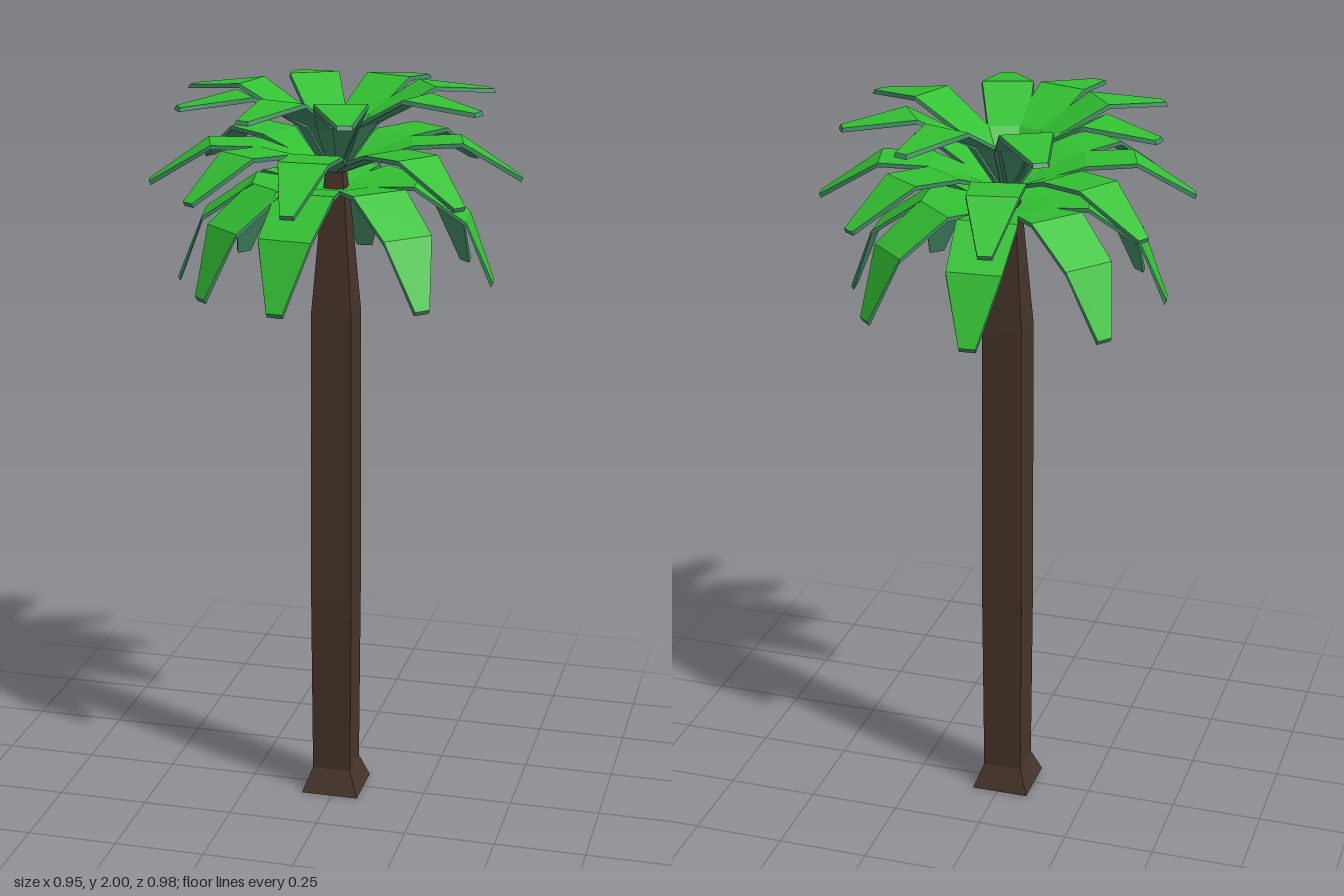
import * as THREE from 'three';

const leaf = new THREE.MeshStandardMaterial({ color: 0x33c133, flatShading: true });
leaf.name = 'leafGreen';
const under = new THREE.MeshStandardMaterial({ color: 0x448a66, flatShading: true });
under.name = 'leafUndersideTeal';
const bark = new THREE.MeshStandardMaterial({ color: 0x46342a, flatShading: true, side: THREE.DoubleSide });
bark.name = 'barkBrown';

// Folded strip along +x; each section is [distance, height, half width].
// The lower face is widened by rim and its tip moved out by tipOut.
function frondGeometry(sections, rim, tipOut) {
  const pos = [];
  const quad = (a, b, c, d) => pos.push(...a, ...b, ...c, ...a, ...c, ...d);
  const rows = sections.map(([r, y, w], i) => {
    const out = i === sections.length - 1 ? tipOut : 0;
    return {
      tl: [r, y, w], tr: [r, y, -w],
      bl: [r + out, y - 0.011, w + rim], br: [r + out, y - 0.011, -w - rim],
    };
  });
  const spans = rows.slice(1).map((q, i) => [rows[i], q]);
  // Green upper face
  for (const [p, q] of spans) quad(p.tl, q.tl, q.tr, p.tr);
  const topCount = pos.length / 3;
  // Teal underside, side rims and tip
  for (const [p, q] of spans) {
    quad(p.br, q.br, q.bl, p.bl);
    quad(p.bl, q.bl, q.tl, p.tl);
    quad(p.tr, q.tr, q.br, p.br);
  }
  const end = rows[rows.length - 1];
  quad(end.bl, end.br, end.tr, end.tl);
  const g = new THREE.BufferGeometry();
  g.setAttribute('position', new THREE.Float32BufferAttribute(pos, 3));
  g.addGroup(0, topCount, 0);
  g.addGroup(topCount, pos.length / 3 - topCount, 1);
  g.computeVertexNormals();
  return g;
}

// Uneven spread of the eight fronds, repeated with a turn on each tier
const angles = [37, 90, 125, 161, 210, 259.5, 307, 346];
const tiers = [
  { name: 'lowerFronds', turn: 7.5, rim: 0, tipOut: -0.006, sections: [
    [0.02, 1.735, 0.018], [0.1, 1.75, 0.052], [0.215, 1.76, 0.08],
    [0.35, 1.668, 0.072], [0.42, 1.495, 0.022]] },
  { name: 'middleFronds', turn: 0, rim: 0, tipOut: -0.004, sections: [
    [0.02, 1.79, 0.018], [0.1, 1.825, 0.052], [0.2, 1.86, 0.07],
    [0.33, 1.865, 0.066], [0.49, 1.765, 0.018]] },
  { name: 'upperFronds', turn: -17, rim: 0.002, tipOut: 0.005, sections: [
    [0.018, 1.79, 0.016], [0.1, 1.92, 0.052], [0.25, 2.0, 0.068], [0.43, 1.978, 0.018]] },
];

export function createModel() {
  const tree = new THREE.Group();
  tree.name = 'palmTree';

  // Square trunk, open below, with a flared foot and a tapered top
  const profile = [[0.08, 0], [0.054, 0.07], [0.057, 0.6], [0.055, 1.4], [0.032, 1.7], [0.017, 1.84], [0, 1.84]];
  const trunkGeo = new THREE.LatheGeometry(
    profile.map(([half, y]) => new THREE.Vector2(half * Math.SQRT2, y)), 4, Math.PI / 4);
  const trunk = new THREE.Mesh(trunkGeo, bark);
  trunk.name = 'trunk';
  tree.add(trunk);

  // Three tiers of drooping fronds
  for (const { name, turn, rim, tipOut, sections } of tiers) {
    const tier = new THREE.Group();
    tier.name = name;
    const geo = frondGeometry(sections, rim, tipOut);
    for (const a of angles) {
      const frond = new THREE.Mesh(geo, [leaf, under]);
      frond.name = 'frond';
      frond.rotation.y = -THREE.MathUtils.degToRad(a + turn);
      tier.add(frond);
    }
    tree.add(tier);
  }
  tree.position.x = -0.007;

  const model = new THREE.Group();
  model.add(tree);
  return model;
}
